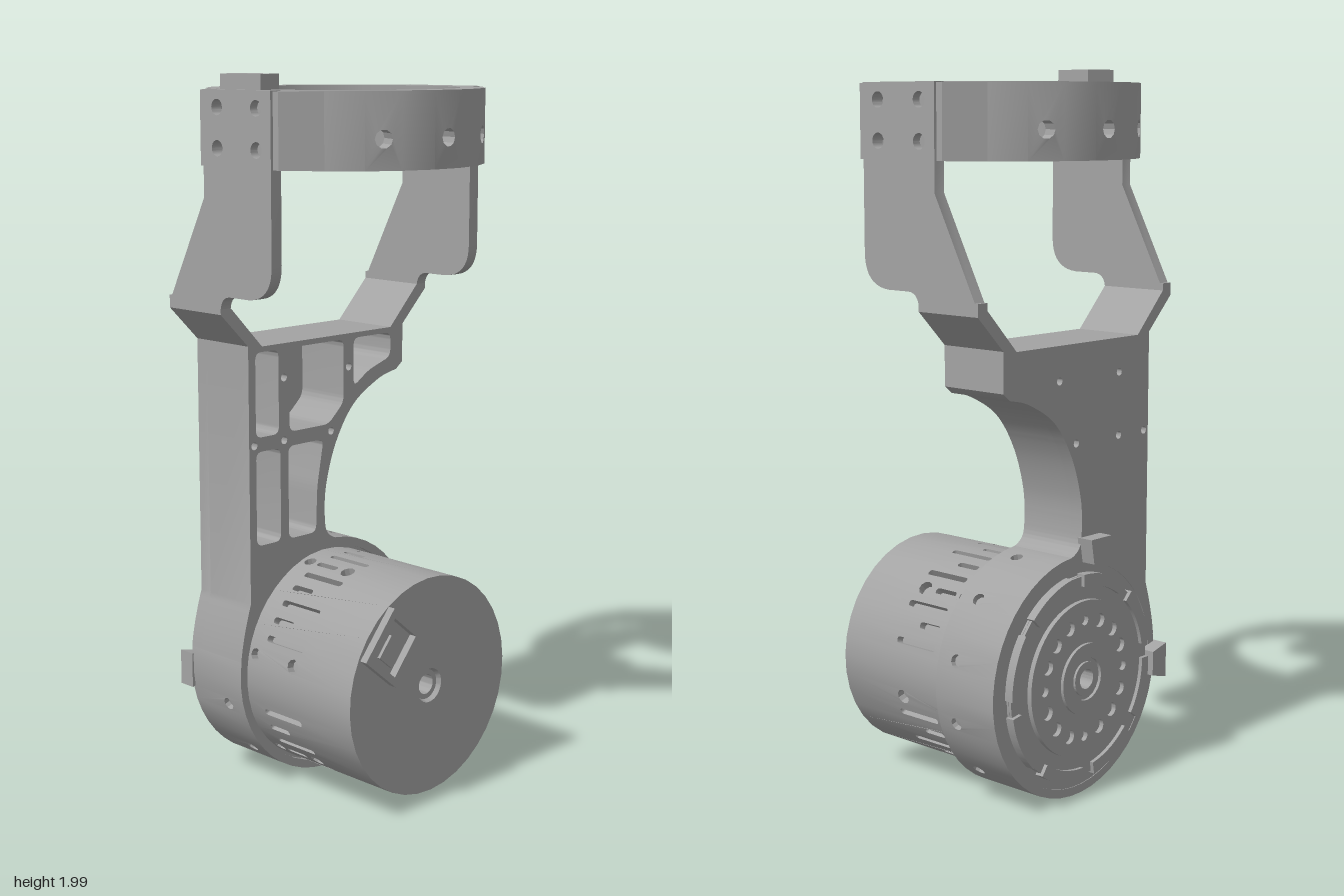
import * as THREE from 'three';
import { mergeGeometries, toCreasedNormals } from 'three/addons/utils/BufferGeometryUtils.js';

const metal = new THREE.MeshStandardMaterial({ color: 0xa3a3a3 });
metal.name = 'grey metal';
const AXIS_Y = 0.35; // height of the motor axis

const V = (x, y) => new THREE.Vector2(x, y);

function add(parent, name, geometry, x = 0, y = 0, z = 0) {
  const mesh = new THREE.Mesh(geometry, metal);
  mesh.name = name;
  mesh.position.set(x, y, z);
  parent.add(mesh);
  return mesh;
}

const circle = (x, y, r) => new THREE.Path().absarc(x, y, r, 0, Math.PI * 2, false);

// Polygon with rounded corners
function rounded(points, r, Type = THREE.Path) {
  const path = new Type();
  const p = points.map(([x, y]) => V(x, y));
  p.forEach((c, i) => {
    const a = p[(i + p.length - 1) % p.length], b = p[(i + 1) % p.length];
    const start = c.clone().add(a.clone().sub(c).setLength(r));
    const end = c.clone().add(b.clone().sub(c).setLength(r));
    if (i) path.lineTo(start.x, start.y); else path.moveTo(start.x, start.y);
    path.quadraticCurveTo(c.x, c.y, end.x, end.y);
  });
  path.closePath();
  return path;
}

// Extrude a shape with holes from z0 to z1
function slab(shape, holes, z0, z1) {
  shape.holes = holes;
  const g = new THREE.ExtrudeGeometry(shape, { depth: z1 - z0, bevelEnabled: false, curveSegments: 10 });
  return toCreasedNormals(g.translate(0, 0, z0), 0.5);
}

const polygon = (pts) => new THREE.Shape(pts.map(([x, y]) => V(x, y)));
function disc(r, holes, z0, z1) {
  const s = new THREE.Shape(new THREE.Path().absarc(0, 0, r, 0, Math.PI * 2).getPoints(48).slice(0, -1));
  return slab(s, holes, z0, z1);
}

// Pierced tube about y: n bent panels, each with its own holes
function piercedTube(r0, r1, y0, y1, n, offset, holesFor) {
  const half = (Math.PI / n) * r1;
  const panels = [];
  for (let k = 0; k < n; k++) {
    const a0 = offset + (k * Math.PI * 2) / n;
    const shape = polygon([[-half, y0], [half, y0], [half, y1], [-half, y1]]);
    shape.holes = holesFor(k, a0);
    const g = new THREE.ExtrudeGeometry(shape, { depth: r1 - r0, bevelEnabled: false, curveSegments: 5 });
    const p = g.attributes.position;
    for (let i = 0; i < p.count; i++) {
      const a = a0 + p.getX(i) / r1, r = r0 + p.getZ(i);
      p.setXYZ(i, r * Math.sin(a), p.getY(i), r * Math.cos(a));
    }
    panels.push(g);
  }
  return toCreasedNormals(mergeGeometries(panels), 0.5);
}

// Main bracket outline, including the forked shoulders
function bracketShape() {
  const s = new THREE.Shape();
  s.moveTo(-0.3, 0.56);
  s.lineTo(-0.3, 1.28);
  [[-0.395, 1.375], [-0.395, 1.41], [-0.36, 1.41], [-0.36, 1.39], [-0.25, 1.275], [0.25, 1.275],
    [0.36, 1.39], [0.36, 1.41], [0.395, 1.41], [0.395, 1.375], [0.3, 1.28], [0.3, 1.17], [0.275, 1.15]]
    .forEach(([x, y]) => s.lineTo(x, y));
  s.splineThru([V(0.2, 1.13), V(0.1, 1.07), V(0.03, 0.97), V(-0.01, 0.85), V(-0.015, 0.75), V(0, 0.705), V(0.05, 0.68)]);
  s.absarc(0, AXIS_Y, 0.328, 1.43, 2.95, false);
  s.lineTo(-0.338, 0.4);
  s.quadraticCurveTo(-0.33, 0.47, -0.3, 0.56);
  return s;
}

function buildBracket(root) {
  const bracket = new THREE.Group();
  bracket.name = 'bracket';
  const bolts = () => [[-0.17, 1.18], [0.08, 1.18], [-0.281, 1.004], [-0.17, 1.004], [0.01, 1.004]]
    .map(([x, y]) => circle(x, y, 0.011));
  const pockets = [
    [[-0.275, 1.025], [-0.19, 1.025], [-0.19, 1.26], [-0.275, 1.26]],
    [[-0.15, 1.025], [0, 1.025], [0.06, 1.08], [0.06, 1.26], [-0.15, 1.26]],
    [[0.1, 1.12], [0.16, 1.16], [0.25, 1.19], [0.25, 1.26], [0.1, 1.26]],
    [[-0.275, 0.72], [-0.185, 0.72], [-0.185, 0.985], [-0.275, 0.985]],
    [[-0.155, 0.72], [-0.05, 0.72], [-0.045, 0.85], [-0.02, 0.985], [-0.155, 0.985]],
  ].map((p) => rounded(p, 0.022));
  add(bracket, 'pocketed web', slab(bracketShape(), [...bolts(), ...pockets], -0.24, -0.07));
  add(bracket, 'back skin', slab(bracketShape(), bolts(), -0.28, -0.24));

  // Side arms: profile drawn in (z, y), then turned to face sideways
  for (const side of [-1, 1]) {
    const arm = new THREE.Shape();
    arm.moveTo(-0.13, 1.96);
    arm.lineTo(-0.13, 1.68);
    arm.lineTo(-0.28, 1.39);
    arm.lineTo(-0.07, 1.39);
    arm.quadraticCurveTo(-0.065, 1.425, -0.03, 1.425);
    arm.lineTo(0.04, 1.425);
    arm.quadraticCurveTo(0.13, 1.43, 0.13, 1.52);
    arm.lineTo(0.13, 1.96);
    const holes = [-0.075, 0.075].flatMap((z) => [1.81, 1.915].map((y) => circle(z, y, 0.021)));
    const g = slab(arm, holes, -0.0175, 0.0175).rotateY(-Math.PI / 2);
    add(bracket, side > 0 ? 'left arm' : 'right arm', g, side * 0.3775);
  }
  root.add(bracket);
}

// Wedge-shaped locating tab, narrow end towards +x
function tabGeometry(len, wide, narrow, thick) {
  const s = polygon([[0, -wide / 2], [len, -narrow / 2], [len, narrow / 2], [0, wide / 2]]);
  return slab(s, [], 0, thick);
}

function buildRing(root) {
  const ring = new THREE.Group();
  ring.name = 'clampRing';
  add(ring, 'ring band', piercedTube(0.31, 0.375, 1.76, 1.96, 24, 0, (k) => {
    if ([5, 7, 17, 19].includes(k)) return [1.81, 1.915].map((y) => circle(0, y, 0.021));
    return [0, 2, 22, 10, 12, 14].includes(k) ? [circle(0, 1.84, 0.024)] : [];
  }));
  // Corner gussets beside the arms
  for (const sx of [-1, 1]) for (const sz of [-1, 1]) {
    const pts = [[0.387, 0.11], [0.387, 0.15], [0.27, 0.25], [0.32, 0.15], [0.345, 0.11]]
      .map(([x, z]) => [x * sx, -z * sz]);
    add(ring, 'ring gusset', slab(polygon(pts), [], 1.762, 1.958).rotateX(-Math.PI / 2));
  }
  add(ring, 'ring tab', tabGeometry(0.085, 0.155, 0.11, 0.05).rotateX(-Math.PI / 2), -0.38, 1.95, 0);
  root.add(ring);
}

function buildMotor(root) {
  const motor = new THREE.Group();
  motor.name = 'motor';
  motor.position.y = AXIS_Y;
  const turn = (g) => g.rotateX(Math.PI / 2);

  // Solid core with a through bore
  const core = [[0.028, -0.285], [0.286, -0.285], [0.286, 0.325], [0.048, 0.325], [0.042, 0.312], [0.028, 0.312], [0.028, -0.285]];
  const coreGeo = new THREE.LatheGeometry(core.map(([r, y]) => V(r, y)), 48);
  add(motor, 'motor core', turn(toCreasedNormals(coreGeo, 0.5)));

  // Ventilated shell: alternating short and long slots, with screw holes
  const w = 0.009;
  add(motor, 'slotted shell', turn(piercedTube(0.284, 0.308, -0.09, 0.325, 36, -Math.PI / 60, (k, a) => {
    const holes = [];
    const end = k % 2 ? 0.125 : 0.055;
    if (Math.abs(Math.sin(a)) < 0.97) {
      holes.push(rounded([[-w, -0.02], [w, -0.02], [w, end], [-w, end]], 0.008));
    }
    if (k % 6 === 2) holes.push(circle(0, -0.052, 0.018), circle(0, 0.098, 0.021));
    return holes;
  })));

  // Housing collar with radial bolt holes
  add(motor, 'housing collar', turn(piercedTube(0.317, 0.341, -0.28, -0.07, 48, 0,
    (k) => (k % 4 === 2 ? [circle(0, -0.135, 0.018)] : []))));
  add(motor, 'collar floor', disc(0.325, [circle(0, 0, 0.1)], -0.278, -0.085));

  // Rear cover, bolt circle and hub
  add(motor, 'rear cover', disc(0.285, [circle(0, 0, 0.028)], -0.293, -0.27));
  const bolts = [];
  for (let i = 0; i < 16; i++) {
    const a = (i * Math.PI) / 8;
    bolts.push(circle(0.165 * Math.cos(a), 0.165 * Math.sin(a), i % 4 ? 0.02 : 0.014));
  }
  add(motor, 'bolt circle plate', disc(0.22, [circle(0, 0, 0.028), ...bolts], -0.307, -0.29));
  add(motor, 'hub ring', disc(0.1, [circle(0, 0, 0.06)], -0.316, -0.3));
  add(motor, 'hub boss', disc(0.048, [circle(0, 0, 0.028)], -0.314, -0.3));
  for (let i = 0; i < 8; i++) {
    const a = (i * Math.PI) / 4, arc = new THREE.Shape();
    arc.absarc(0, 0, 0.292, a, a + 0.62, false);
    arc.absarc(0, 0, 0.258, a + 0.62, a, true);
    add(motor, 'rim segment', slab(arc, [], -0.304, -0.278));
  }

  // Rear locating tabs
  add(motor, 'side tab', tabGeometry(0.06, 0.1, 0.07, 0.05), -0.345, -0.02, -0.322);
  add(motor, 'top tab', tabGeometry(0.07, 0.085, 0.06, 0.05).rotateZ(-Math.PI / 2), -0.05, 0.39, -0.322);

  // Tilted connector socket on the front
  const socket = new THREE.Group();
  socket.name = 'connector socket';
  socket.position.set(-0.16, 0.15, 0.32);
  socket.rotation.z = -0.7;
  const box = (x, y) => [[-x, -y], [x, -y], [x, y], [-x, y]];
  add(socket, 'socket frame', slab(polygon(box(0.073, 0.083)), [new THREE.Path(box(0.053, 0.063).map(([x, y]) => V(x, y)))], 0, 0.027));
  add(socket, 'socket contact', new THREE.BoxGeometry(0.06, 0.07, 0.014), 0.01, -0.01, 0.007);
  motor.add(socket);
  root.add(motor);
}

export function createModel() {
  const root = new THREE.Group();
  root.name = 'motorised ring mount';
  buildBracket(root);
  buildRing(root);
  buildMotor(root);
  return root;
}
